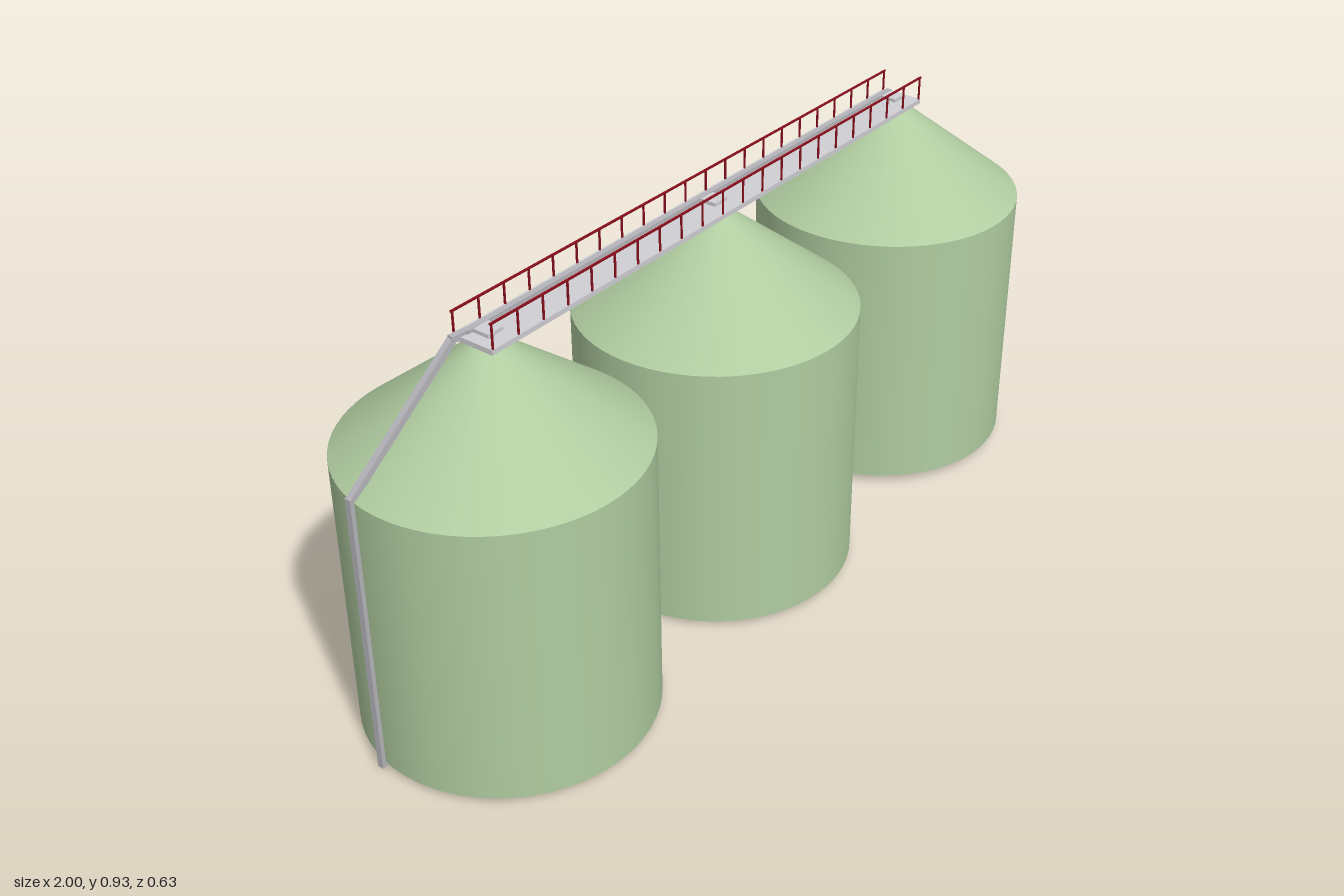
import * as THREE from 'three';

export function createModel() {
  const model = new THREE.Group();
  model.name = 'grainSilos';
  const mat = (name, color, side = THREE.FrontSide) => {
    const m = new THREE.MeshStandardMaterial({ color, side });
    m.name = name;
    return m;
  };
  const green = mat('silo green', 0xb0cca0, THREE.DoubleSide);
  const deckGrey = mat('walkway light grey', 0xd0d0d4);
  const pipeGrey = mat('pipe grey', 0xb4b4ba);
  const red = mat('railing red', 0x8a0f1c);

  const add = (parent, name, geometry, material, x = 0, y = 0, z = 0) => {
    const mesh = new THREE.Mesh(geometry, material);
    mesh.name = name;
    mesh.position.set(x, y, z);
    parent.add(mesh);
    return mesh;
  };
  const box = (parent, name, material, w, h, d, x, y, z) =>
    add(parent, name, new THREE.BoxGeometry(w, h, d), material, x, y, z);

  // Square duct running between two points
  const duct = (parent, name, a, b, size) => {
    const from = new THREE.Vector3(...a), to = new THREE.Vector3(...b);
    const mesh = box(parent, name, pipeGrey, size, size, from.distanceTo(to), 0, 0, 0);
    mesh.position.copy(from).add(to).multiplyScalar(0.5);
    mesh.lookAt(to);
  };

  // Three silos, open underneath, with conical roofs
  const R = 0.312;
  const silos = [[-0.684, 0.012, -0.004], [0, 0.012, 0.004], [0.687, 0.019, -0.004]];
  for (const [x, y, z] of silos) {
    const silo = new THREE.Group();
    silo.name = 'silo';
    silo.position.set(x, y, z);
    model.add(silo);
    add(silo, 'siloWall', new THREE.CylinderGeometry(R, R, 0.626, 64, 1, true), green, 0, 0.313, 0);
    const roof = [[R, 0.626], [0.024, 0.85], [0.024, 0.85], [0, 0.853]];
    add(silo, 'siloRoof', new THREE.LatheGeometry(roof.map(p => new THREE.Vector2(...p)), 64), green);
  }

  // Walkway across the roof tops
  const x0 = -0.725, x1 = 0.728, length = x1 - x0, mid = (x0 + x1) / 2;
  const walkway = new THREE.Group();
  walkway.name = 'walkway';
  model.add(walkway);
  box(walkway, 'deck', deckGrey, length, 0.011, 0.102, mid, 0.867, 0);
  box(walkway, 'conveyor', pipeGrey, 1.43, 0.009, 0.013, 0.005, 0.876, -0.03);
  for (const x of [-0.678, 0.004, 0.694])
    box(walkway, 'hatch', deckGrey, 0.04, 0.009, 0.038, x, 0.876, -0.003);

  // Railings on both sides
  for (const [z, top] of [[0.049, 0.928], [-0.049, 0.921]]) {
    const railing = new THREE.Group();
    railing.name = 'railing';
    model.add(railing);
    box(railing, 'handrail', red, length, 0.004, 0.004, mid, top - 0.002, z);
    const gaps = 21, h = top - 0.862;
    for (let i = 0; i <= gaps; i++)
      box(railing, 'post', red, 0.0035, h, 0.0035, x0 + 0.004 + (length - 0.008) * i / gaps, 0.862 + h / 2, z);
  }

  // Filling pipe up the wall and along the roof
  const pipe = new THREE.Group();
  pipe.name = 'fillingPipe';
  model.add(pipe);
  duct(pipe, 'uprightPipe', [-0.993, 0, -0.066], [-0.993, 0.648, -0.066], 0.014);
  duct(pipe, 'slopingPipe', [-0.992, 0.642, -0.066], [-0.735, 0.872, -0.038], 0.014);
  duct(pipe, 'pipeOutlet', [-0.742, 0.872, -0.038], [-0.7, 0.873, -0.032], 0.014);
  return model;
}
